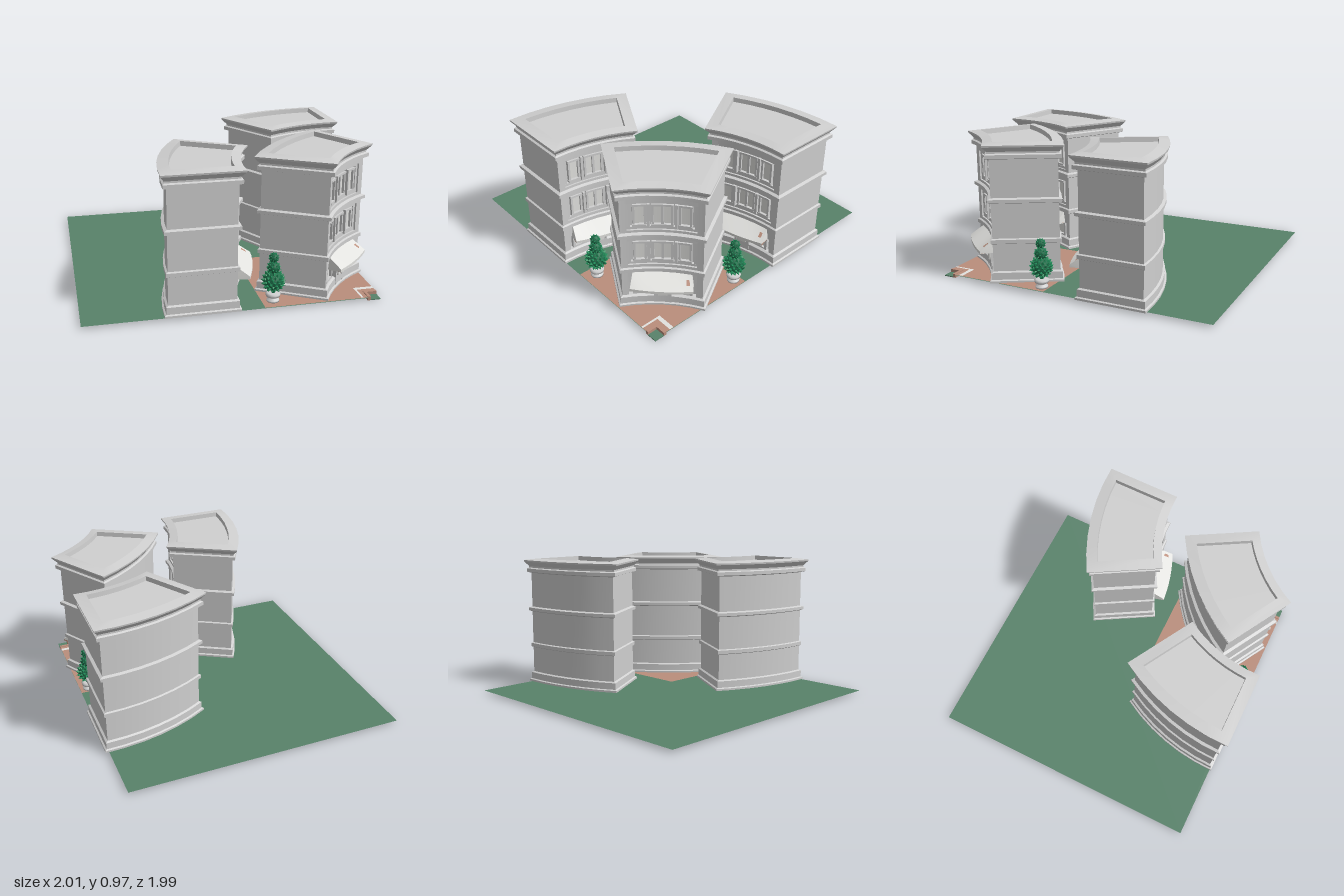
import * as THREE from 'three';
import { mergeGeometries, toCreasedNormals } from 'three/addons/utils/BufferGeometryUtils.js';

const mat = (name, color, side = THREE.FrontSide) => {
  const m = new THREE.MeshStandardMaterial({ color, side });
  m.name = name;
  return m;
};
const stone = mat('stone grey', 0xd0d0d0);
const pale = mat('pale panes', 0xe2e2df);
const grass = mat('grass green', 0x58826a, THREE.DoubleSide);
const clay = mat('terracotta', 0xba8e7c, THREE.DoubleSide);
const leafMat = mat('leaf green', 0x23905c);
const darkLeaf = mat('dark leaf green', 0x1c6b48);

const DEG = Math.PI / 180, HALF = 15 * DEG, RI = 1.0, RO = 1.445, N = 6;

function add(group, name, geometry, material) {
  const m = new THREE.Mesh(geometry, material);
  m.name = name;
  group.add(m);
  return m;
}

// Geometry from four-cornered faces, smooth along the curves, sharp at edges
function fromQuads(quads) {
  const p = [];
  for (const [a, b, c, d] of quads) p.push(...a, ...b, ...c, ...a, ...c, ...d);
  const g = new THREE.BufferGeometry();
  g.setAttribute('position', new THREE.Float32BufferAttribute(p, 3));
  return toCreasedNormals(g, 0.3);
}

const polar = (r, t, y) => [r * Math.sin(t), y, -r * Math.cos(t)];

// Closed outline of a ring sector at height y: near arc, then far arc back
function sector(ri, ro, i0, i1, o0, o1, y) {
  const pts = [];
  for (let i = 0; i <= N; i++) pts.push(polar(ri, i0 + (i1 - i0) * i / N, y));
  for (let i = N; i >= 0; i--) pts.push(polar(ro, o0 + (o1 - o0) * i / N, y));
  return pts;
}

// Building footprint grown by o on all sides (front may differ)
function footprint(o, y, front = o) {
  const ri = RI - front, ro = RO + o;
  const hi = HALF + Math.asin(o / ri), ho = HALF + Math.asin(o / ro);
  return sector(ri, ro, -hi, hi, -ho, ho, y);
}

function loft(rings) {
  const quads = [], n = rings[0].length;
  for (let k = 0; k < rings.length - 1; k++) for (let i = 0; i < n; i++) {
    const j = (i + 1) % n;
    quads.push([rings[k][i], rings[k][j], rings[k + 1][j], rings[k + 1][i]]);
  }
  const b = rings[0], t = rings[rings.length - 1];
  for (let i = 0; i < N; i++) {
    const j = n - 1 - i;
    quads.push([t[i], t[i + 1], t[j - 1], t[j]], [b[j], b[j - 1], b[i + 1], b[i]]);
  }
  return fromQuads(quads);
}
const ledge = (profile) => loft(profile.map(([o, y, f]) => footprint(o, y, f)));

// Curved block on the facade, angles in degrees
function block(r0, r1, a0, a1, y0, y1) {
  a0 *= DEG; a1 *= DEG;
  return loft([y0, y1].map((y) => sector(r0, r1, a0, a1, a0, a1, y)));
}

// Sloping canopy with a short valance and side cheeks
function awning(drop, flip) {
  const wall = (s) => [s * 0.2, 0.205, -0.98];
  const row = (f) => {
    const r = [wall(-1)];
    for (let i = 0; i <= N; i++) r.push(f(i / N * 2 - 1));
    return [...r, wall(1)];
  };
  const rows = [
    row((s) => { const q = polar(0.995, s * 11 * DEG, 0.287); q[1] -= drop; return q; }),
    row((s) => [s * 0.2, 0.226 - drop, -0.872 - 0.016 * s * s]),
    row((s) => [s * 0.2, 0.207, -0.872 - 0.016 * s * s - drop]),
  ];
  const quads = [];
  for (let k = 0; k < 2; k++) for (let i = 0; i < N + 2; i++) {
    const q = [rows[k][i], rows[k + 1][i], rows[k + 1][i + 1], rows[k][i + 1]];
    quads.push(flip ? q.reverse() : q);
  }
  return fromQuads(quads);
}

function building(x, z, angle) {
  const g = new THREE.Group();
  g.name = 'curvedBuilding';
  g.position.set(x, 0, z);
  g.rotation.y = angle * DEG;

  // Walls and horizontal mouldings
  add(g, 'walls', ledge([[0, 0.02, -0.03], [0, 0.88, -0.03]]), stone);
  add(g, 'plinth', ledge([[0.025, 0.02], [0.025, 0.034], [0.014, 0.04], [0.014, 0.088], [0, 0.096]]), stone);
  add(g, 'lowerBand', ledge([[0, 0.286], [0.012, 0.292], [0.012, 0.318], [0, 0.324]]), stone);
  add(g, 'upperBand', ledge([[0, 0.564], [0.02, 0.572], [0.02, 0.594], [0, 0.602]]), stone);
  add(g, 'cornice', ledge([[0, 0.86], [0.025, 0.868], [0.025, 0.893], [0.012, 0.9], [0.012, 0.912],
    [0.038, 0.945], [0.04, 0.957], [-0.035, 0.968, -0.02], [-0.037, 0.935, -0.022]]), stone);

  // Facade skin around the recessed window bays
  const skin = [];
  for (const s of [-1, 1]) skin.push(block(RI, 1.035, Math.min(s * 15, s * 12.5), Math.max(s * 15, s * 12.5), 0.03, 0.88));
  for (const [y0, y1] of [[0.205, 0.345], [0.545, 0.62], [0.828, 0.88]]) skin.push(block(RI, 1.035, -12.6, 12.6, y0, y1));
  add(g, 'facade', mergeGeometries(skin), stone);

  // Upper windows: a wide one between two narrow ones on each floor
  const trim = [], panes = [];
  for (const y of [0.345, 0.62]) {
    const h = y === 0.345 ? 0.2 : 0.208;
    trim.push(block(1.012, 1.035, -12.5, 12.5, y, y + 0.018), block(1.012, 1.035, -12.5, 12.5, y + h - 0.018, y + h));
    for (const s of [-1, 1]) {
      trim.push(block(1.012, 1.035, s * 11.9 - 0.6, s * 11.9 + 0.6, y, y + h));
      trim.push(block(0.995, 1.035, s * 4.9 - 0.5, s * 4.9 + 0.5, y + 0.015, y + h - 0.015));
    }
    for (const [c, w] of [[-8, 2], [0, 3.4], [8, 2]]) {
      panes.push(block(1.024, 1.032, c - w, c + w, y + 0.035, y + h - 0.03));
      trim.push(block(1.005, 1.035, c - w - 0.5, c + w + 0.5, y + 0.022, y + 0.036));
      trim.push(block(1.005, 1.035, c - w - 0.5, c + w + 0.5, y + h - 0.036, y + h - 0.022));
      for (const s of [-1, 1]) trim.push(block(1.008, 1.035, c + s * w - 0.4, c + s * w + 0.4, y + 0.03, y + h - 0.03));
    }
    trim.push(block(1.01, 1.035, -0.45, 0.45, y + 0.03, y + h - 0.03));
  }

  // Shop front: central door with a window either side
  for (const s of [-1, 1]) {
    trim.push(block(0.982, 1.035, s * 2.9 - 0.4, s * 2.9 + 0.4, 0.03, 0.207));
    trim.push(block(1.005, 1.035, s * 4.6 - 0.5, s * 4.6 + 0.5, 0.09, 0.207));
    trim.push(block(1.005, 1.035, s * 10.5 - 0.5, s * 10.5 + 0.5, 0.09, 0.207));
    trim.push(block(1.005, 1.035, s * 7.5 - 3.5, s * 7.5 + 3.5, 0.09, 0.108));
    panes.push(block(1.022, 1.031, s * 7.5 - 2.6, s * 7.5 + 2.6, 0.108, 0.205));
  }
  panes.push(block(0.976, 0.984, -1.8, 1.8, 0.1, 0.185));
  trim.push(block(0.984, 1.035, -2.6, 2.6, 0.03, 0.207));
  add(g, 'windowTrim', mergeGeometries(trim), stone);
  add(g, 'windowPanes', mergeGeometries(panes), pale);

  add(g, 'awning', awning(0, false), pale);
  add(g, 'awningUnderside', awning(0.004, true), clay);
  return g;
}

// Leafy ball: a core bristling with pointed leaves
function leafBall(group, y, r, count) {
  const core = add(group, 'foliageCore', new THREE.IcosahedronGeometry(r * 0.82, 1), darkLeaf);
  core.position.y = y;
  const leaves = [], up = new THREE.Vector3(0, 1, 0);
  for (let i = 0; i < count; i++) {
    const v = 1 - 2 * (i + 0.5) / count, a = i * 2.39996, s = Math.sqrt(1 - v * v);
    const dir = new THREE.Vector3(s * Math.cos(a), v, s * Math.sin(a));
    const leaf = new THREE.ConeGeometry(r * 0.25, r * 0.42, 4).toNonIndexed();
    const tilt = dir.clone().add(new THREE.Vector3(0, 0.25, 0)).normalize();
    leaf.applyQuaternion(new THREE.Quaternion().setFromUnitVectors(up, tilt));
    leaf.translate(dir.x * r * 0.8, y + dir.y * r * 0.8, dir.z * r * 0.8);
    leaf.computeVertexNormals();
    leaves.push(leaf);
  }
  add(group, 'leaves', mergeGeometries(leaves), leafMat);
}

function topiary(x, z) {
  const g = new THREE.Group();
  g.name = 'topiaryTree';
  g.position.set(x, 0, z);
  const profile = [[0, 0.022], [0.042, 0.022], [0.042, 0.034], [0.022, 0.042], [0.024, 0.05], [0.046, 0.058], [0.05, 0.075], [0.036, 0.082], [0, 0.082]];
  add(g, 'pot', new THREE.LatheGeometry(profile.map(([a, b]) => new THREE.Vector2(a, b)), 14), stone);
  add(g, 'trunk', new THREE.CylinderGeometry(0.01, 0.012, 0.25, 8).translate(0, 0.19, 0), darkLeaf);
  leafBall(g, 0.165, 0.082, 90);
  leafBall(g, 0.257, 0.05, 50);
  leafBall(g, 0.325, 0.038, 40);
  return g;
}

// Flat ground sheet, square with its +x +z corner cut out
function sheet(x0, z0, edge, cut, y) {
  const s = new THREE.Shape([[x0, z0], [edge, z0], [edge, cut], [cut, cut], [cut, edge], [x0, edge]]
    .map(([a, b]) => new THREE.Vector2(a, -b)).reverse());
  return new THREE.ShapeGeometry(s).rotateX(-Math.PI / 2).translate(0, y, 0);
}

export function createModel() {
  const model = new THREE.Group();
  model.name = 'curvedTownBlock';

  // Lawn, paving and the sunken planter in the corner
  add(model, 'lawn', sheet(-1, -1, 0.96, 0.87, 0.018), grass);
  add(model, 'paving', sheet(0.17, 0.165, 0.96, 0.87, 0.022), clay);
  add(model, 'paleBorder', sheet(0.825, 0.81, 0.96, 0.84, 0.0245), pale);
  for (const [w, d, x, z] of [[0.02, 0.09, 0.88, 0.915], [0.07, 0.02, 0.925, 0.88]])
    add(model, 'planterCurb', new THREE.BoxGeometry(w, 0.027, d).translate(x, 0.0135, z), clay);
  add(model, 'planterBed', new THREE.BoxGeometry(0.07, 0.006, 0.07).translate(0.925, 0.003, 0.925), grass);

  model.add(building(0.988, 0.945, 75), building(1.451, 1.418, 45), building(0.96, 0.893, 15));
  model.add(topiary(0.245, 0.87), topiary(0.895, 0.214));
  return model;
}
